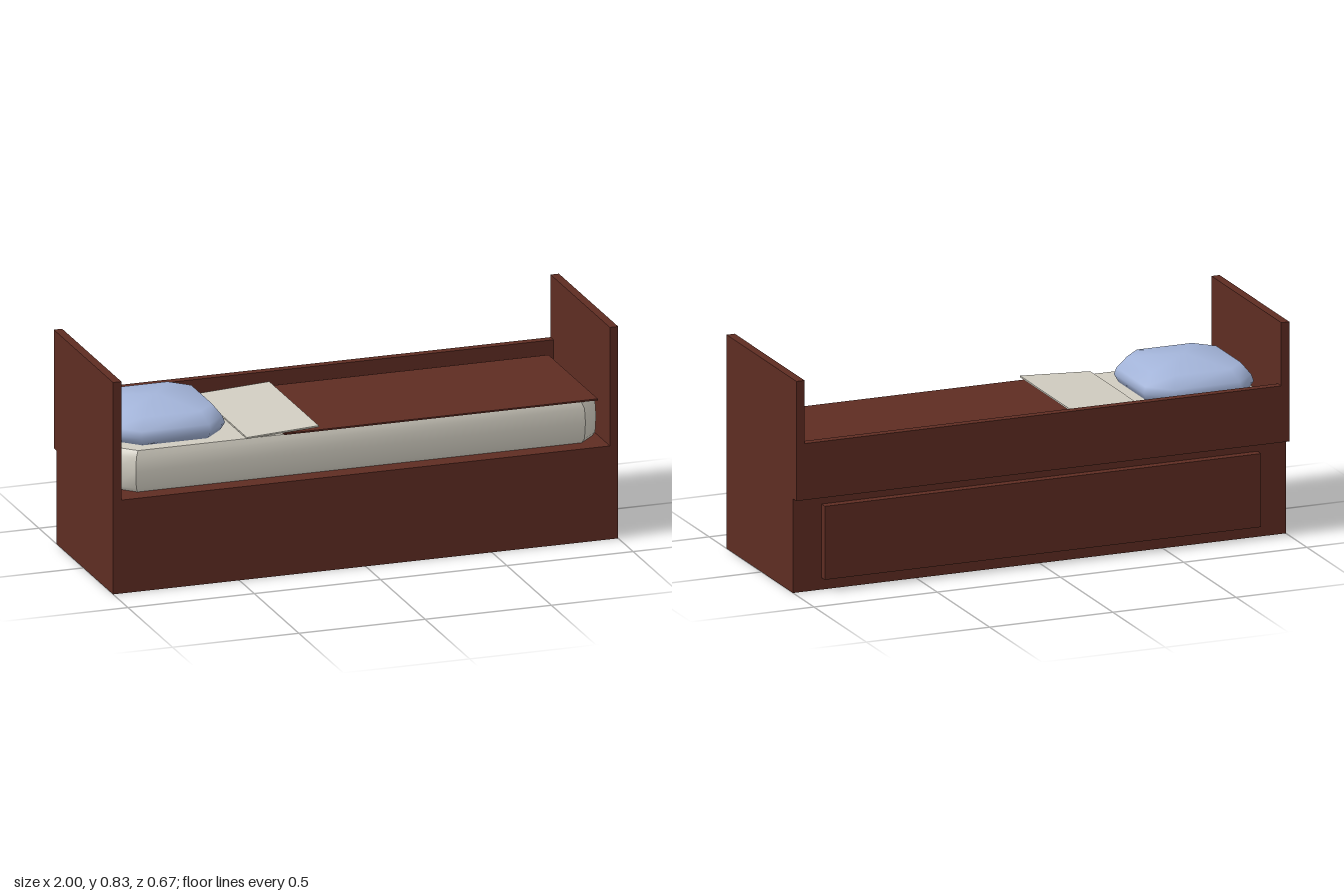
import * as THREE from 'three';
import { toCreasedNormals } from 'three/addons/utils/BufferGeometryUtils.js';

const mat = (name, color, side = THREE.FrontSide) => {
  const m = new THREE.MeshStandardMaterial({ color, side });
  m.name = name;
  return m;
};

// Solid lofted through octagonal rings (rectangles with cut corners).
// Each ring is [y, inset]; both ends are closed by a centre point.
function octagonLoft(rings, hx, hz, cut, topY) {
  const pos = [], idx = [];
  for (const [y, inset] of rings) {
    const x = hx - inset, z = hz - inset, c = cut * (x / hx);
    for (const [px, pz] of [[x, z - c], [x - c, z], [c - x, z], [-x, z - c],
      [-x, c - z], [c - x, -z], [x - c, -z], [x, c - z]]) pos.push(px, y, pz);
  }
  const n = rings.length, bottom = n * 8, top = bottom + 1;
  pos.push(0, rings[0][0], 0, 0, topY, 0);
  for (let i = 0; i < 8; i++) {
    const j = (i + 1) % 8;
    for (let r = 0; r < n - 1; r++) {
      const a = r * 8 + i, b = r * 8 + j;
      idx.push(a, a + 8, b, b, a + 8, b + 8);
    }
    idx.push(bottom, i, j, top, (n - 1) * 8 + j, (n - 1) * 8 + i);
  }
  const g = new THREE.BufferGeometry();
  g.setAttribute('position', new THREE.Float32BufferAttribute(pos, 3));
  g.setIndex(idx);
  g.computeVertexNormals();
  return g;
}

export function createModel() {
  const group = new THREE.Group();
  group.name = 'bed';
  const wood = mat('darkRedBrown', 0x5e2c22, THREE.DoubleSide);
  const linen = mat('cream', 0xd0ccc0);
  const blue = mat('paleBlue', 0xa3b4d9);

  const add = (name, geo, material, x = 0, y = 0, z = 0) => {
    const m = new THREE.Mesh(geo, material);
    m.name = name;
    m.position.set(x, y, z);
    group.add(m);
    return m;
  };
  // Box given by its minimum and maximum corners
  const box = (name, material, x0, x1, y0, y1, z0, z1) =>
    add(name, new THREE.BoxGeometry(x1 - x0, y1 - y0, z1 - z0), material,
      (x0 + x1) / 2, (y0 + y1) / 2, (z0 + z1) / 2);

  // Hollow base, open underneath: drop the bottom face of a box
  const base = new THREE.BoxGeometry(2, 0.367, 0.633);
  const faces = Array.from(base.index.array);
  faces.splice(18, 6);
  base.setIndex(faces);
  base.clearGroups();
  add('base', base, wood, 0, 0.1835, 0.0165);

  // Drawer front and rail on the back, boards at both ends
  box('drawerFront', wood, -0.885, 0.885, 0.047, 0.333, -0.333, -0.3);
  box('backRail', wood, -0.967, 0.967, 0.367, 0.587, -0.333, -0.3);
  box('headboard', wood, -1, -0.967, 0.367, 0.833, -0.333, 0.333);
  box('footboard', wood, 0.967, 1, 0.367, 0.833, -0.333, 0.333);

  // Mattress with cut corners and softly rounded sides
  const mattress = octagonLoft([[0.368, 0.012], [0.385, 0.003], [0.45, 0], [0.505, 0.003], [0.53, 0.014]],
    0.955, 0.281, 0.065, 0.53);
  add('mattress', toCreasedNormals(mattress, 0.6), linen, 0, 0, -0.004);

  // Blanket and the sheet folded back over its upper end
  box('blanket', wood, -0.3, 0.94, 0.531, 0.537, -0.28, 0.274);
  const sheet = box('foldedSheet', linen, -0.45, -0.165, 0.54, 0.546, -0.28, 0.275);
  sheet.rotation.z = 0.055;

  // Pillow with a low domed top
  const pillow = octagonLoft([[0.53, 0.015], [0.56, 0], [0.585, 0.008], [0.63, 0.042]], 0.223, 0.228, 0.085, 0.655);
  add('pillow', pillow, blue, -0.712, 0, -0.003);

  return group;
}
